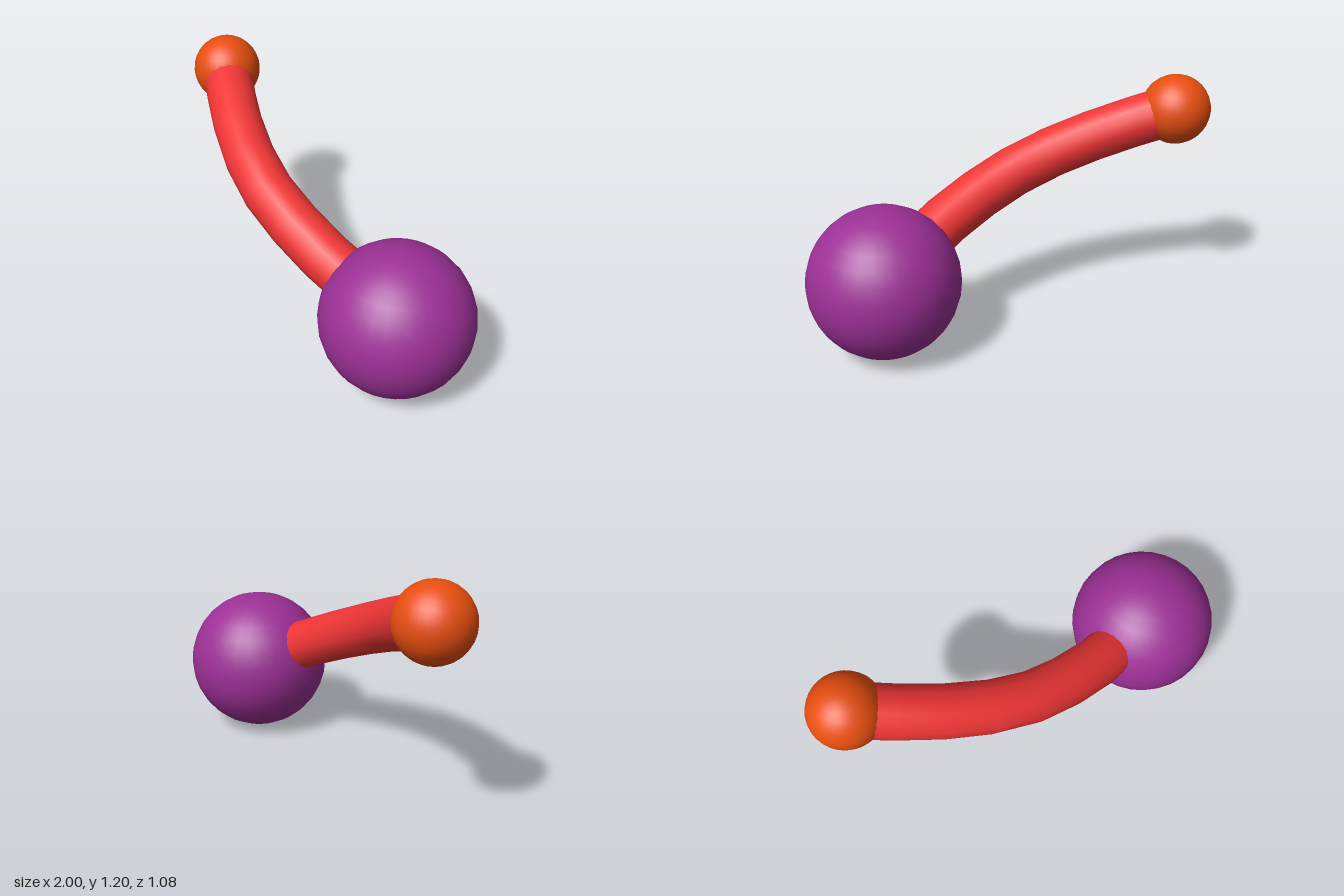
import * as THREE from 'three';

export function createModel() {
  const model = new THREE.Group();

  const add = (name, geometry, color) => {
    const mesh = new THREE.Mesh(geometry, new THREE.MeshStandardMaterial({ color }));
    mesh.name = name;
    model.add(mesh);
    return mesh;
  };

  const bigCentre = new THREE.Vector3(0.633, 0.367, 0.17);
  const smallCentre = new THREE.Vector3(-0.825, 1.022, -0.367);

  // End balls
  add('largeBall', new THREE.SphereGeometry(0.367, 32, 16), 0x9c3096).position.copy(bigCentre);
  add('smallBall', new THREE.SphereGeometry(0.175, 32, 16), 0xe84e0f).position.copy(smallCentre);

  // Bowed rod running from ball to ball
  const path = new THREE.CatmullRomCurve3([
    smallCentre,
    new THREE.Vector3(-0.535, 0.893, -0.105),
    new THREE.Vector3(-0.2, 0.745, 0.1),
    new THREE.Vector3(0.2, 0.57, 0.185),
    bigCentre,
  ]);
  add('curvedRod', new THREE.TubeGeometry(path, 8, 0.127, 16), 0xf03535);

  return model;
}
